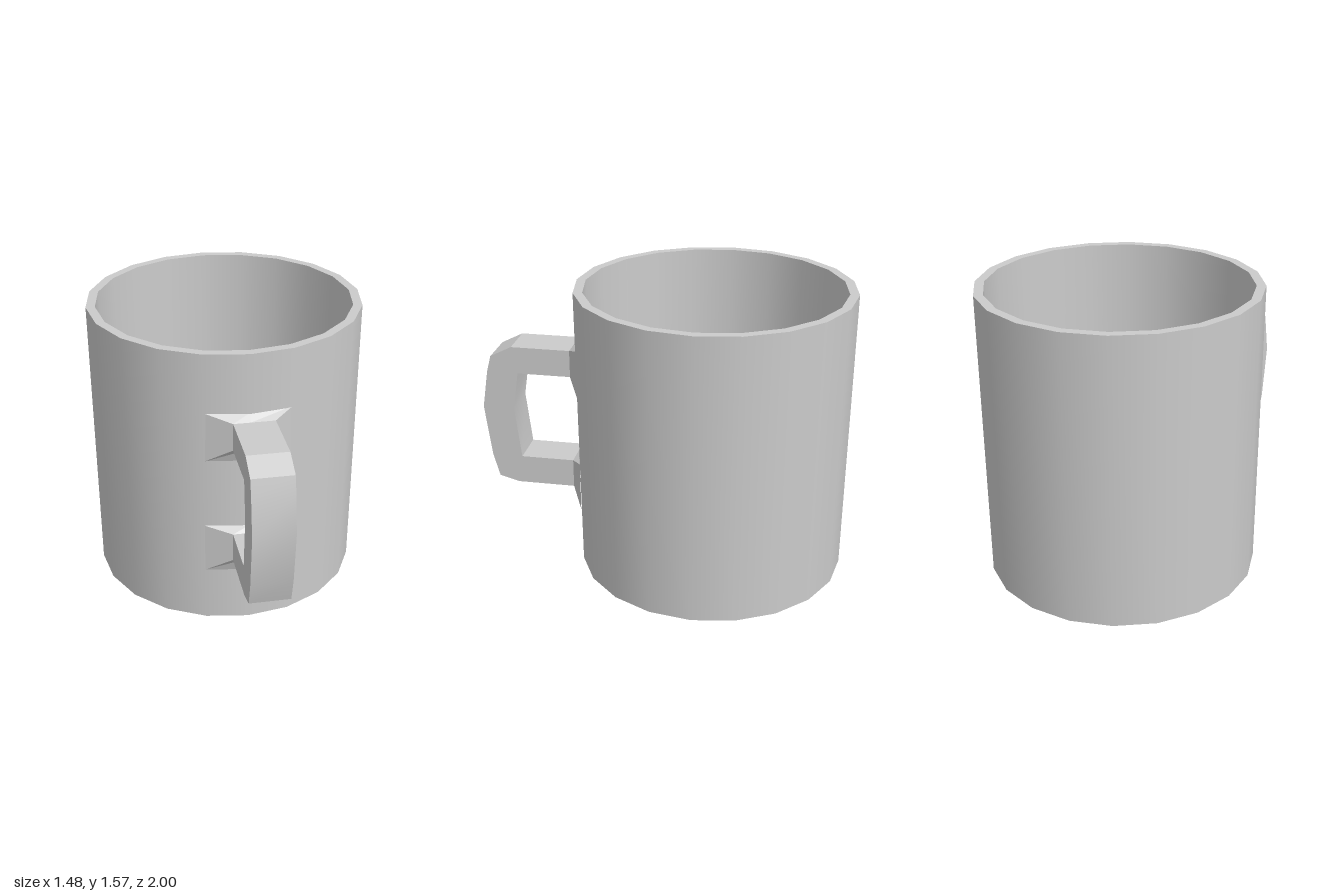
import * as THREE from 'three';
import { toCreasedNormals } from 'three/addons/utils/BufferGeometryUtils.js';

const material = new THREE.MeshStandardMaterial({ color: 0xcccccc });
const flat = new THREE.MeshStandardMaterial({ color: 0xcccccc, flatShading: true });

function part(name, geometry, mat = material) {
  const mesh = new THREE.Mesh(geometry, mat);
  mesh.name = name;
  return mesh;
}

// Flared foot joining a handle arm to the faceted cup wall
const armLeft = 0.126, armRight = -0.09;
function flareGeometry(armLow, armHigh, wallLow, wallHigh) {
  // Rings run counter-clockwise seen from the front, with a middle point on the wall's ridge
  const ring = (x0, x1, y0, y1, zSide, zMid) => [
    [x0, y0, zSide], [0, y0, zMid], [x1, y0, zSide],
    [x1, y1, zSide], [0, y1, zMid], [x0, y1, zSide],
  ];
  const wall = ring(-0.228, 0.226, wallLow, wallHigh, 0.438, 0.474);
  const arm = ring(armRight, armLeft, armLow, armHigh, 0.502, 0.502);
  const positions = [];
  for (let i = 0; i < 6; i++) {
    const j = (i + 1) % 6;
    positions.push(...wall[i], ...wall[j], ...arm[j], ...wall[i], ...arm[j], ...arm[i]);
  }
  const geometry = new THREE.BufferGeometry();
  geometry.setAttribute('position', new THREE.Float32BufferAttribute(positions, 3));
  geometry.computeVertexNormals();
  return geometry;
}

export function createModel() {
  const model = new THREE.Group();
  model.name = 'mug';

  // Twenty-sided cup, one lathe band per surface so the rims stay sharp
  const cup = new THREE.Group();
  cup.name = 'cup';
  cup.position.z = -0.26;
  const profile = [[0, 0], [0.728, 0], [0.74, 1.57], [0.691, 1.57], [0.68, 0.06], [0, 0.06]]
    .map(([r, y]) => new THREE.Vector2(r, y));
  ['base', 'outerWall', 'rim', 'innerWall', 'floor'].forEach((name, i) => {
    cup.add(part(name, new THREE.LatheGeometry([profile[i], profile[i + 1]], 20)));
  });
  model.add(cup);

  // Handle outline in depth and height, extruded across the width
  const outline = [
    [0.5, 1.21], [0.5, 1.06], [0.795, 1.06], [0.827, 0.85], [0.795, 0.56], [0.5, 0.56],
    [0.5, 0.4], [0.82, 0.4], [0.93, 0.43], [0.965, 0.56], [1, 0.85], [0.967, 1.06],
    [0.943, 1.15], [0.825, 1.21],
  ].map(([z, y]) => new THREE.Vector2(z, y));
  const handle = new THREE.ExtrudeGeometry(new THREE.Shape(outline), {
    depth: armLeft - armRight, bevelEnabled: false,
  });
  handle.rotateY(-Math.PI / 2).translate(armLeft, 0, 0);
  model.add(part('handle', toCreasedNormals(handle, 0.45)));

  // Flared feet
  model.add(part('upperHandleFoot', flareGeometry(1.06, 1.21, 0.975, 1.25), flat));
  model.add(part('lowerHandleFoot', flareGeometry(0.4, 0.56, 0.312, 0.59), flat));

  return model;
}
